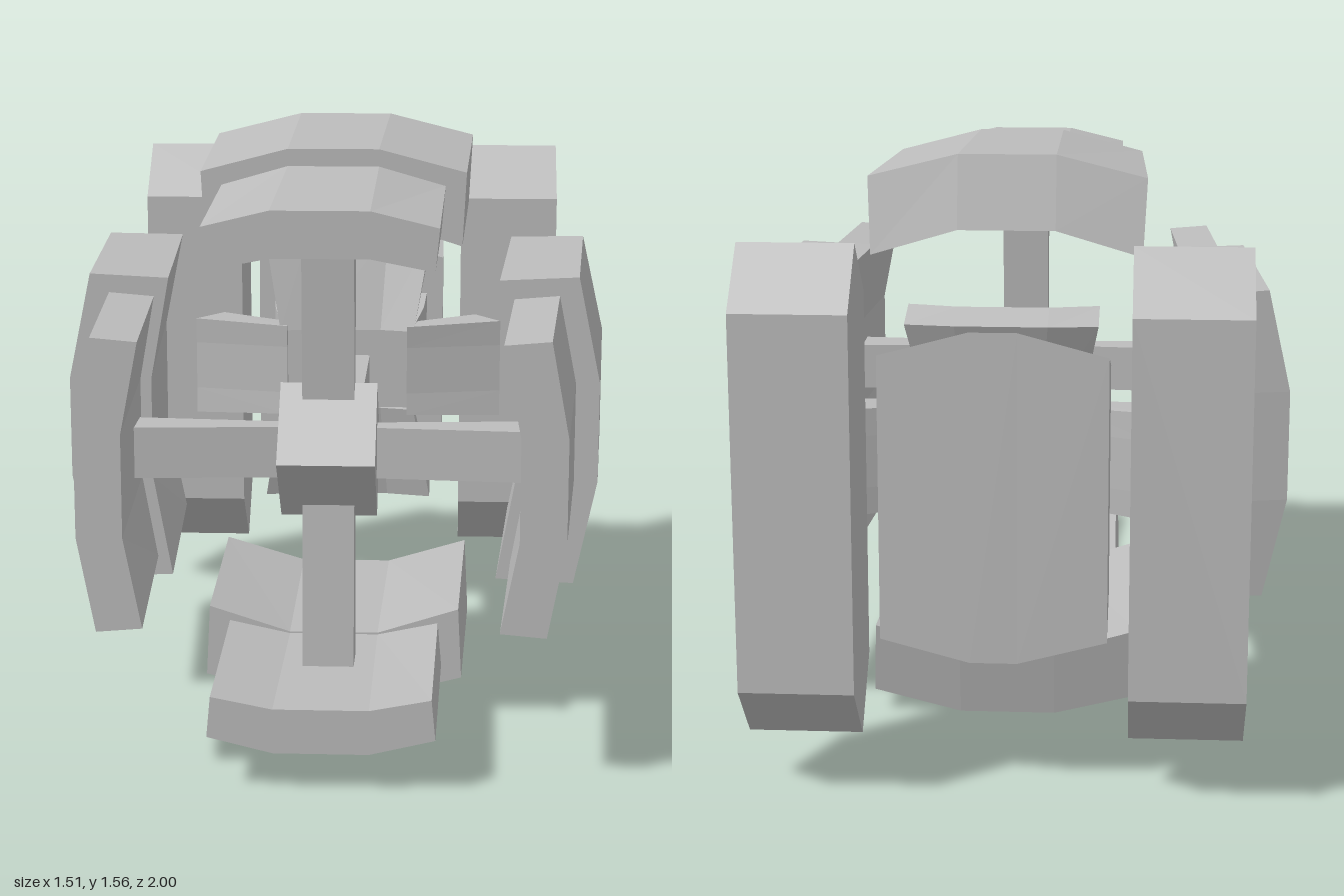
import * as THREE from 'three';

const CY = 0.785; // height of the central axis

// Flat-shaded solid through a list of rings; each ring is an even-sized loop of [x, y, z].
function loft(rings) {
  const tris = [];
  const quad = (a, b, c, d) => tris.push([a, b, c], [a, c, d]);
  const n = rings[0].length;
  for (let k = 0; k < rings.length - 1; k++) {
    const A = rings[k], B = rings[k + 1];
    for (let i = 0; i < n; i++) {
      const j = (i + 1) % n;
      quad(A[i], A[j], B[j], B[i]);
    }
  }
  const first = rings[0], last = rings[rings.length - 1];
  for (let i = 0; i < n / 2 - 1; i++) {
    const a = i, b = i + 1, c = n - 2 - i, d = n - 1 - i;
    quad(first[d], first[c], first[b], first[a]);
    quad(last[a], last[b], last[c], last[d]);
  }
  // turn all faces outward, whichever way the rings were mirrored
  let volume = 0;
  for (const [a, b, c] of tris) {
    volume += a[0] * (b[1] * c[2] - b[2] * c[1])
      + a[1] * (b[2] * c[0] - b[0] * c[2])
      + a[2] * (b[0] * c[1] - b[1] * c[0]);
  }
  const pos = [];
  for (const [a, b, c] of tris) pos.push(...a, ...(volume < 0 ? [...c, ...b] : [...b, ...c]));
  const g = new THREE.BufferGeometry();
  g.setAttribute('position', new THREE.Float32BufferAttribute(pos, 3));
  g.computeVertexNormals();
  return g;
}

// The four directions around the axis: (across, radius, z) -> (x, y, z)
const top = ([u, r, z]) => [u, r, z];
const bottom = ([u, r, z]) => [u, -r, z];
const left = ([u, r, z]) => [r, u, z];
const right = ([u, r, z]) => [-r, u, z];

// Arched cross-section with three facets outside and inside
function arch(zOut, zIn, uMid, uEdge, rOut, rOutEdge, rInEdge, rIn) {
  const e = uEdge - 0.01;
  return [
    [-uEdge, rOutEdge, zOut], [-uMid, rOut, zOut], [uMid, rOut, zOut], [uEdge, rOutEdge, zOut],
    [e, rInEdge, zIn], [uMid, rIn, zIn], [-uMid, rIn, zIn], [-e, rInEdge, zIn],
  ];
}

// Rectangle across the axis at depth z
const rect = (hx, hy, z) => [[-hx, hy, z], [hx, hy, z], [hx, -hy, z], [-hx, -hy, z]];

// Curved slab of a petal at one radius: front line, then back line
function petalRing(w, m, rFront, rBack, zFront, zBack, bow) {
  return [
    [-w, rFront, zFront], [-m, rFront, zFront - bow], [m, rFront, zFront - bow], [w, rFront, zFront],
    [w, rBack, zBack], [m, rBack, zBack - bow * 0.5], [-m, rBack, zBack - bow * 0.5], [-w, rBack, zBack],
  ];
}

export function createModel() {
  const model = new THREE.Group();
  const grey = new THREE.MeshStandardMaterial({ color: 0xbcbcbc });
  grey.name = 'hull grey';

  const body = new THREE.Group();
  body.name = 'body';
  body.position.y = CY;
  model.add(body);
  const add = (name, geometry) => {
    const mesh = new THREE.Mesh(geometry, grey);
    mesh.name = name;
    body.add(mesh);
    return mesh;
  };
  const place = (rings, dir) => loft(rings.map((ring) => ring.map(dir)));

  // Narrow pair: top and bottom
  const roof = {
    rear: [arch(0.37, 0.37, 0.12, 0.35, 0.755, 0.695, 0.5, 0.57),
      arch(-0.33, -0.375, 0.13, 0.37, 0.78, 0.72, 0.517, 0.585)],
    front: [arch(1, 1, 0.12, 0.285, 0.68, 0.64, 0.535, 0.565),
      arch(0.36, 0.36, 0.12, 0.295, 0.71, 0.66, 0.54, 0.575)],
    strut: 0.58,
    petal: [petalRing(0.2, 0.1, 0.12, 0.12, -0.405, -0.48, 0.025),
      petalRing(0.25, 0.12, 0.405, 0.375, -0.465, -0.585, 0.03)],
  };
  // Wide pair: left and right
  const side = {
    rear: [arch(0.37, 0.37, 0.135, 0.42, 0.71, 0.65, 0.44, 0.49),
      arch(-0.33, -0.375, 0.15, 0.425, 0.757, 0.695, 0.487, 0.54)],
    front: [arch(1, 1, 0.13, 0.37, 0.6, 0.555, 0.44, 0.485),
      arch(0.36, 0.36, 0.135, 0.37, 0.647, 0.6, 0.48, 0.52)],
    strut: 0.5,
    petal: [petalRing(0.135, 0.07, 0.18, 0.18, -0.4, -0.48, 0.005),
      petalRing(0.145, 0.07, 0.46, 0.385, -0.46, -0.568, 0.005)],
  };

  for (const [word, dir, p] of [
    ['top', top, roof], ['bottom', bottom, roof], ['left', left, side], ['right', right, side],
  ]) {
    add(word + ' rear shell', place(p.rear, dir));
    add(word + ' front shell', place(p.front, dir));
    add(word + ' petal', place(p.petal, dir));
    // strut grows deeper toward the shell
    const strutRing = (r, h) => [
      [-0.067, r, 0.595 + h], [0.067, r, 0.595 + h], [0.067, r, 0.595 - h], [-0.067, r, 0.595 - h],
    ];
    add(word + ' strut', place([strutRing(0.05, 0.026), strutRing(p.strut, 0.06)], dir));
  }

  // Core block turned on its edge, and the spine behind it
  const core = add('core', new THREE.BoxGeometry(0.25, 0.25, 0.25));
  core.position.z = 0.59;
  core.rotation.x = Math.PI / 4;
  add('spine', loft([rect(0.067, 0.04, 0.55), rect(0.067, 0.04, -0.46)]));

  // Flared hub holding the petals
  add('hub', loft([rect(0.2, 0.13, -0.44), rect(0.228, 0.165, -0.57), rect(0.236, 0.19, -0.7)]));

  // Eight-sided rear plate, taller at the back
  const plateRing = (e, m, z) => [
    [-0.285, e, z], [-0.06, m, z], [0.06, m, z], [0.285, e, z],
    [0.285, -e, z], [0.06, -m, z], [-0.06, -m, z], [-0.285, -e, z],
  ];
  add('rear plate', loft([plateRing(0.3, 0.36, -0.69), plateRing(0.365, 0.425, -0.9)]));

  // Tall pods with pointed ends
  for (const s of [1, -1]) {
    const podRing = (x) => [
      [x, 0.485, -0.685], [x, 0.632, -0.845], [x, 0.485, -1],
      [x, -0.48, -1], [x, -0.64, -0.845], [x, -0.48, -0.685],
    ];
    add(s > 0 ? 'left pod' : 'right pod', loft([podRing(s * 0.34), podRing(s * 0.632)]));
  }
  return model;
}
